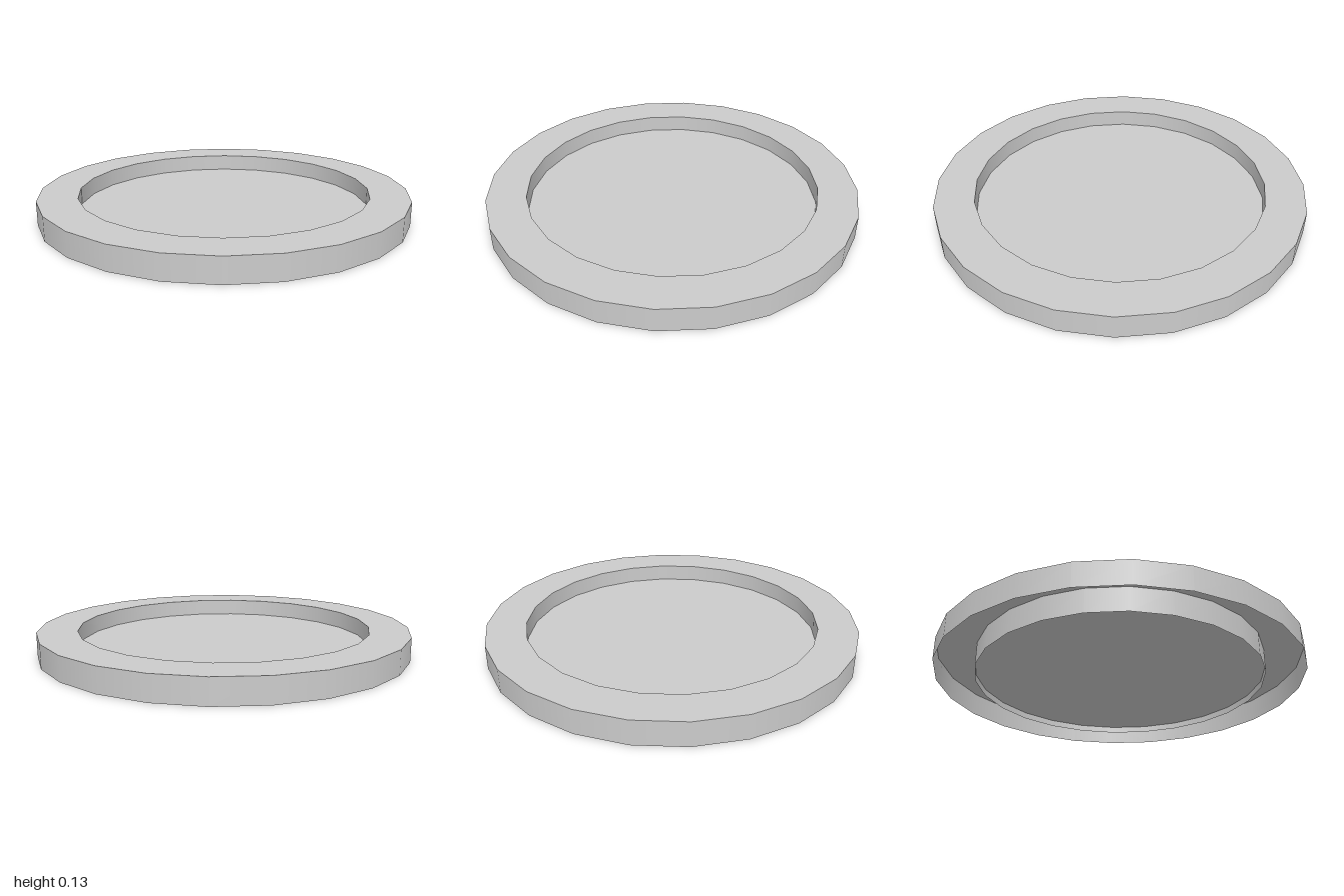
import * as THREE from 'three';

const SIDES = 24;
const OUTER = 1, INNER = 0.788;
const HEIGHT = 0.128, FLOOR_Y = 0.036;

export function createModel() {
  const group = new THREE.Group();
  group.name = 'shallowTray';
  // Thin sheet surfaces, open underneath
  const material = new THREE.MeshStandardMaterial({ color: 0xcccccc, side: THREE.DoubleSide });

  const add = (name, geometry, y) => {
    const mesh = new THREE.Mesh(geometry, material);
    mesh.name = name;
    mesh.position.y = y;
    group.add(mesh);
  };
  const wall = (radius) => new THREE.CylinderGeometry(radius, radius, HEIGHT, SIDES, 1, true);

  // Outer and inner walls, smooth around the ring
  add('outerWall', wall(OUTER), HEIGHT / 2);
  add('innerWall', wall(INNER), HEIGHT / 2);

  // Flat rim joining the tops of the two walls
  add('rim', new THREE.RingGeometry(INNER, OUTER, SIDES).rotateX(-Math.PI / 2), HEIGHT);

  // Recessed floor, slightly above the bottom edge
  add('floor', new THREE.CircleGeometry(INNER, SIDES).rotateX(-Math.PI / 2), FLOOR_Y);

  return group;
}
